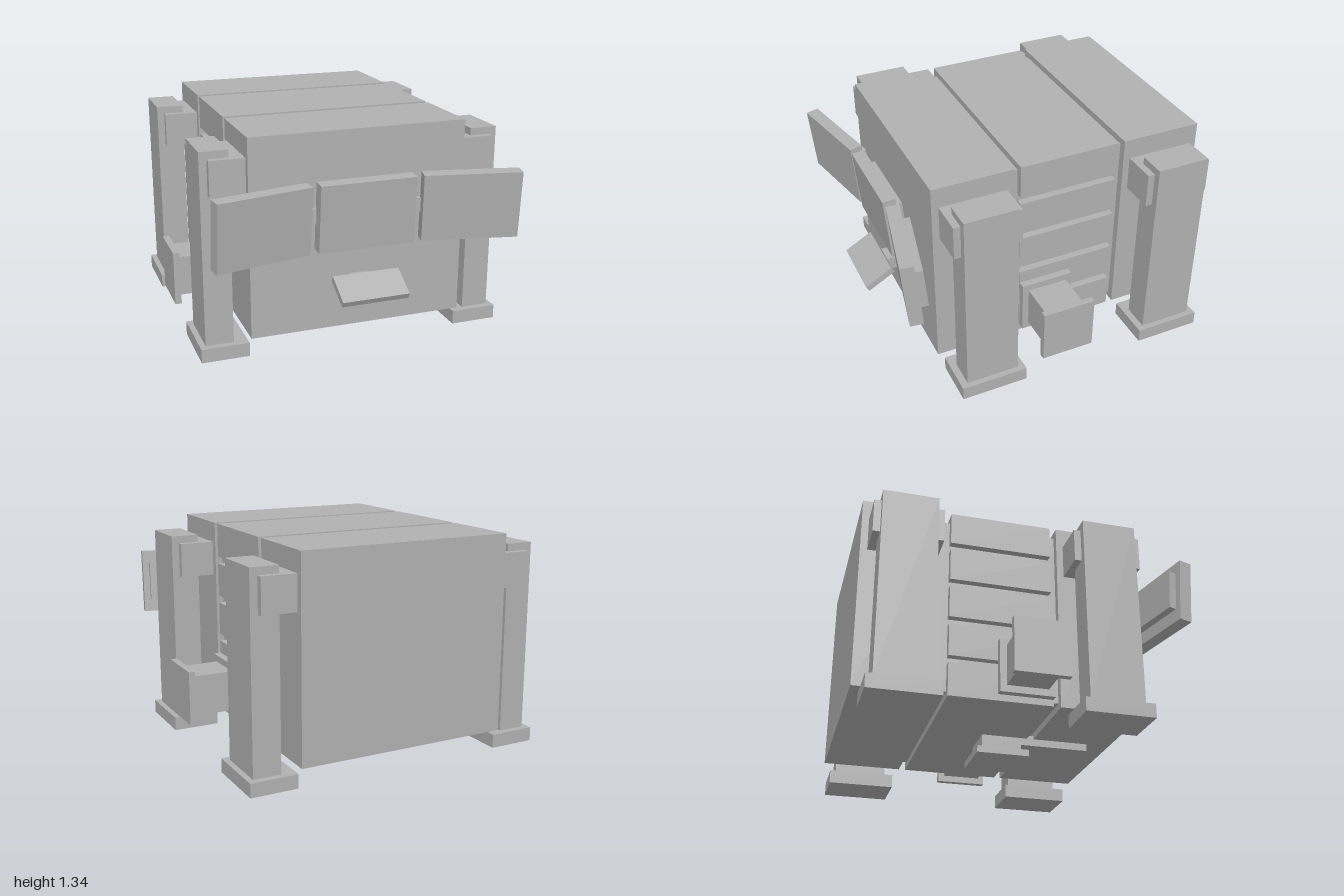
import * as THREE from 'three';

export function createModel() {
  const model = new THREE.Group();
  const grey = new THREE.MeshStandardMaterial({ color: 0xb0b0b0 });
  grey.name = 'plain grey';

  // Box centred at a point
  function block(name, size, pos, parent = model) {
    const mesh = new THREE.Mesh(new THREE.BoxGeometry(...size), grey);
    mesh.name = name;
    mesh.position.set(...pos);
    parent.add(mesh);
    return mesh;
  }
  // Box given by its limits on each axis
  function span(name, [x0, x1], [y0, y1], [z0, z1], parent = model) {
    return block(name, [x1 - x0, y1 - y0, z1 - z0],
      [(x0 + x1) / 2, (y0 + y1) / 2, (z0 + z1) / 2], parent);
  }

  // Body: two end blocks, a recessed core and a stack of slabs between them
  const wide = [-0.665, 0.665];
  span('frontBody', wide, [0.13, 1.335], [0.21, 0.71]);
  span('rearBody', wide, [0.13, 1.335], [-1, -0.5]);
  span('core', [-0.62, 0.62], [0.17, 1.295], [-0.52, 0.23]);
  for (let i = 0; i < 5; i++) {
    const y = 0.13 + i * 0.25;
    span('middleSlab', wide, [y, y + 0.205], [-0.458, 0.168]);
  }

  for (const s of [-1, 1]) {
    // Corner legs with feet and shoulder blocks
    for (const z of [0.46, -0.75]) {
      const leg = new THREE.Group();
      leg.name = 'cornerLeg';
      leg.position.set(s * 0.81, 0, z);
      model.add(leg);
      block('foot', [0.29, 0.085, 0.415], [0, 0.0425, 0], leg);
      block('post', [0.17, 1.17, 0.33], [s * 0.025, 0.67, 0], leg);
      block('shoulder', [0.21, 0.21, 0.415], [s * -0.04, 1.105, 0], leg);
    }
    // Side spools
    block('spoolInnerPlate', [0.045, 0.335, 0.33], [s * 0.6875, 0.338, 0]);
    block('spoolHub', [0.25, 0.25, 0.25], [s * 0.835, 0.338, 0]);
    block('spoolOuterPlate', [0.04, 0.335, 0.33], [s * 0.98, 0.338, 0]);
    // Screen brackets and hinges
    block('screenBracket', [0.08, 0.085, 0.08], [s * 0.125, 0.875, 0.735]);
    block('screenHinge', [0.16, 0.085, 0.03], [s * 0.32, 0.868, 0.78]);
  }

  // Three screens, leaning forward, the outer two turned inward
  for (const s of [-1, 0, 1]) {
    const screen = new THREE.Group();
    screen.name = 'screen';
    screen.position.set(s * 0.634, 0.863, s ? 0.873 : 0.815);
    screen.rotation.set(0.087, -s * 0.21, 0, 'YXZ');
    model.add(screen);
    block('screenPanel', [0.585, 0.41, 0.08], [0, 0, 0], screen);
    block('screenBack', [0.5, 0.25, 0.045], [0, 0.005, -0.0625], screen);
  }

  // Sloping tray on a short arm
  span('trayArm', [-0.06, 0.06], [0.38, 0.46], [0.7, 0.86]);
  const tray = new THREE.Group();
  tray.name = 'tray';
  tray.position.set(0, 0.436, 0.9);
  tray.rotation.x = 0.51;
  model.add(tray);
  block('trayTop', [0.41, 0.04, 0.196], [0, 0.002, 0], tray);
  block('trayUnderside', [0.33, 0.016, 0.15], [0, -0.026, 0], tray);

  // Central support under the body
  span('supportFoot', [-0.165, 0.165], [0, 0.042], [-0.16, 0.168]);
  span('supportNeck', [-0.125, 0.125], [0.04, 0.15], [-0.12, 0.13]);
  span('supportBar', [-0.125, 0.125], [0.085, 0.15], [0.12, 0.56]);

  return model;
}
